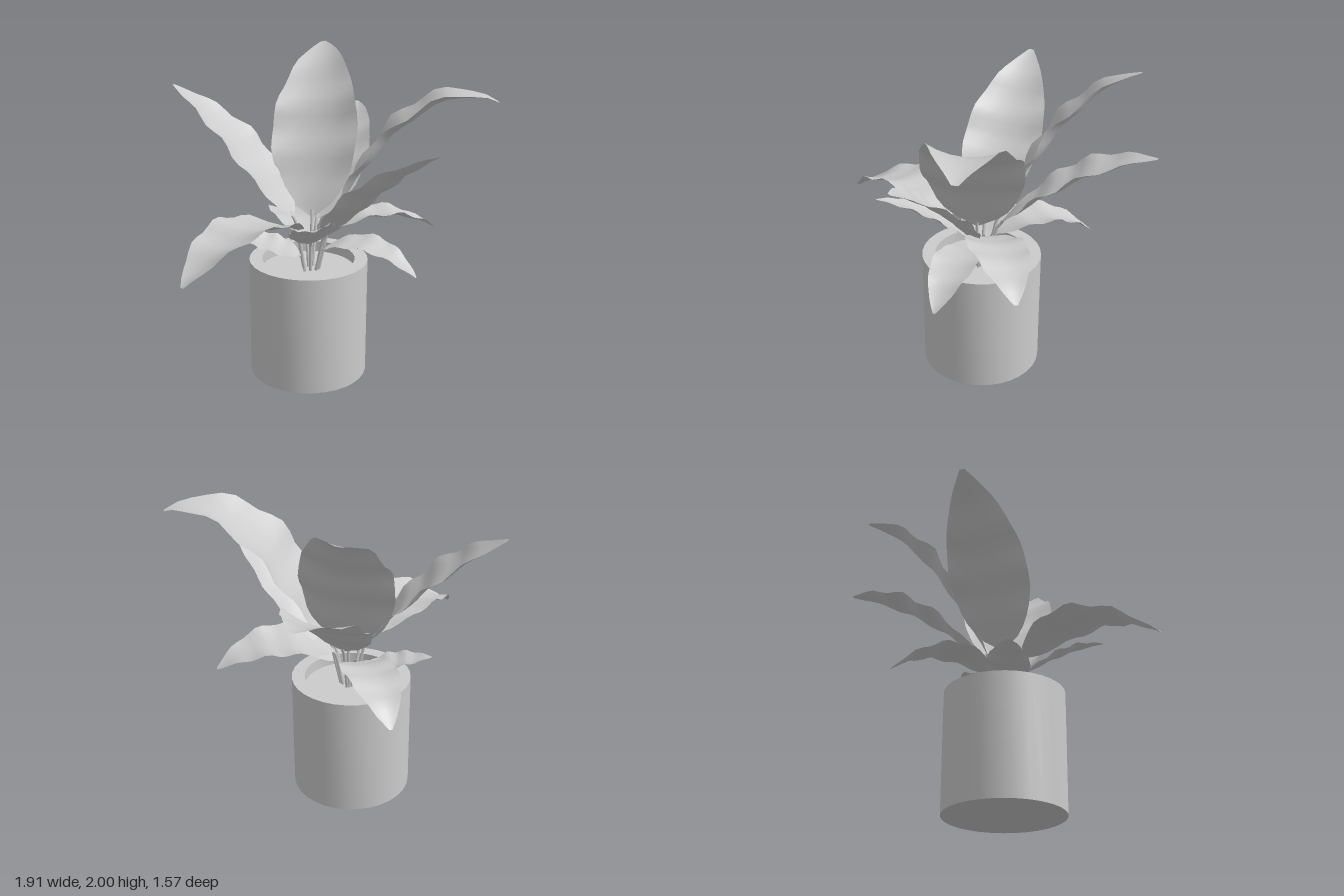
import * as THREE from 'three';
import { toCreasedNormals } from 'three/addons/utils/BufferGeometryUtils.js';

const grey = new THREE.MeshStandardMaterial({ color: 0xcccccc });
const greyThin = new THREE.MeshStandardMaterial({ color: 0xcccccc, side: THREE.DoubleSide });
const UP = new THREE.Vector3(0, 1, 0);
const POT_X = 0.047, POT_Z = -0.02;

// tip: where the blade ends; baseY: height where it begins;
// lift: upward bow of the midrib; roll: twist of the blade about its midrib
const LEAVES = [
  { name: 'tallBackLeaf', tip: [0.55, 2, -0.78], baseY: 1.02, lift: 0.2, width: 0.57, roll: -0.2 },
  { name: 'tallFrontLeaf', tip: [0.95, 1.82, 0.65], baseY: 1.05, lift: 0.29, width: 0.6, roll: -0.05 },
  { name: 'frontLeaf', tip: [0.46, 1.58, 0.78], baseY: 0.94, lift: 0.06, width: 0.4, roll: -0.2 },
  { name: 'backLeftLeaf', tip: [0.8, 1.57, -0.74], baseY: 1, lift: 0.1, width: 0.5, roll: -0.11 },
  { name: 'backRightLeaf', tip: [-0.55, 1.81, -0.74], baseY: 1.04, lift: 0.07, width: 0.49, roll: 0.1 },
  { name: 'longRightLeaf', tip: [-0.95, 0.91, 0.38], baseY: 1, lift: 0.16, width: 0.46, roll: 0.1 },
  { name: 'smallFrontLeaf', tip: [-0.22, 1.18, 0.57], baseY: 0.9, lift: 0.04, width: 0.28, roll: 0.2 },
  { name: 'leftLeaf', tip: [0.85, 0.92, 0.22], baseY: 0.95, lift: 0.11, width: 0.36, roll: -0.12 },
  { name: 'lowBackLeaf', tip: [0.2, 0.81, -0.75], baseY: 0.9, lift: 0.12, width: 0.33, roll: -0.07 },
  { name: 'lowFrontLeaf', tip: [0.49, 0.76, 0.55], baseY: 0.85, lift: 0.11, width: 0.28, roll: 0 },
  { name: 'lowRightLeaf', tip: [-0.38, 0.91, -0.29], baseY: 0.79, lift: 0.01, width: 0.27, roll: -0.07 },
];

// Point on the way from the crown of the plant out towards a leaf tip
function outward(tip, share, y) {
  return new THREE.Vector3(0.05, 0, 0).lerp(tip, share).setY(y);
}

// Arched midrib from blade base to tip
function midrib({ tip, baseY, lift }) {
  const end = new THREE.Vector3(...tip);
  const start = outward(end, 0.12, baseY);
  const control = start.clone().lerp(end, 0.5).addScaledVector(UP, 2 * lift);
  return new THREE.QuadraticBezierCurve3(start, control, end);
}

// Cupped blade, wavy towards its edges: a row of points across the midrib at each step along it
function bladeGeometry(curve, { width, roll }, phase) {
  const rows = 18, cols = 6, pos = [], index = [];
  for (let i = 0; i <= rows; i++) {
    const t = i / rows;
    const center = curve.getPointAt(t), tangent = curve.getTangentAt(t);
    const across = new THREE.Vector3().crossVectors(UP, tangent).normalize().applyAxisAngle(tangent, roll);
    const normal = new THREE.Vector3().crossVectors(tangent, across);
    const belly = Math.sin(Math.PI * t);
    const outline = Math.pow(Math.max(Math.sin(Math.PI * Math.pow(t, 0.77)), 0), 0.75);
    const half = width / 2 * Math.max(outline, 0.06);
    for (let j = 0; j <= cols; j++) {
      const s = j / cols * 2 - 1;
      const wave = (0.015 + 0.02 * s * s) * Math.sin(t * 25 + phase);
      const bend = width * belly * (wave + 0.1 * s * s - 0.02);
      const p = center.clone().addScaledVector(across, s * half).addScaledVector(normal, bend);
      pos.push(p.x, p.y, p.z);
      if (i < rows && j < cols) {
        const a = i * (cols + 1) + j, b = a + cols + 1;
        index.push(a, b, a + 1, a + 1, b, b + 1);
      }
    }
  }
  const geo = new THREE.BufferGeometry();
  geo.setAttribute('position', new THREE.Float32BufferAttribute(pos, 3));
  geo.setIndex(index);
  geo.computeVertexNormals();
  return geo;
}

// Thin stalk rising from the soil into the blade
function stemGeometry(curve) {
  const root = outward(curve.v2, 0.04, 0.66);
  const path = new THREE.CatmullRomCurve3([root, curve.v0, curve.getPointAt(0.03)]);
  return new THREE.TubeGeometry(path, 6, 0.01, 5, false);
}

export function createModel() {
  const model = new THREE.Group();
  const add = (parent, name, geo, mat) => {
    const mesh = new THREE.Mesh(geo, mat);
    mesh.name = name;
    parent.add(mesh);
    return mesh;
  };

  // Hollow pot with a thick wall
  const profile = [[0, 0], [0.377, 0], [0.377, 0.77], [0.295, 0.77], [0.295, 0.66]]
    .map(([r, y]) => new THREE.Vector2(r, y));
  const pot = add(model, 'pot', toCreasedNormals(new THREE.LatheGeometry(profile, 32), 0.6), grey);
  pot.position.set(POT_X, 0, POT_Z);

  // Soil
  const soil = add(model, 'soil', new THREE.CircleGeometry(0.297, 32).rotateX(-Math.PI / 2), grey);
  soil.position.set(POT_X, 0.7, POT_Z);

  // Leaves, each a blade on a stem
  LEAVES.forEach((leaf, i) => {
    const group = new THREE.Group();
    group.name = leaf.name;
    const curve = midrib(leaf);
    add(group, 'blade', bladeGeometry(curve, leaf, i * 1.7), greyThin);
    add(group, 'stem', stemGeometry(curve), greyThin);
    model.add(group);
  });
  return model;
}
